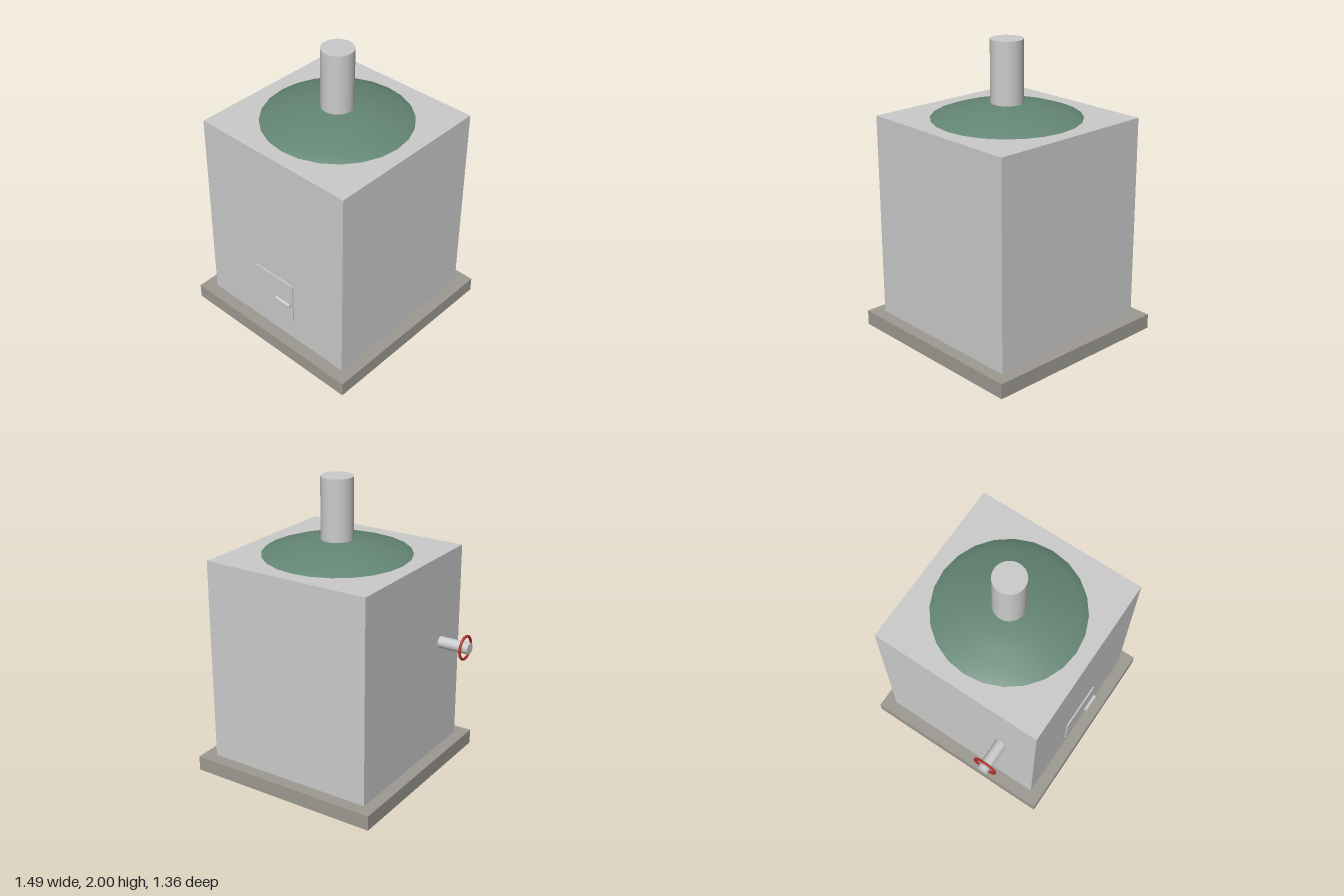
import * as THREE from 'three';

const material = (color) => new THREE.MeshStandardMaterial({ color });
const grey = material(0xcccccc);
const stone = material(0x9d9a92);
const green = material(0x648674);
const red = material(0xb8332e);

const CX = 0.065; // the furnace sits off centre because of the valve

export function createModel() {
  const group = new THREE.Group();
  const add = (name, geometry, mat, x, y, z) => {
    const mesh = new THREE.Mesh(geometry, mat);
    mesh.name = name;
    mesh.position.set(x, y, z);
    group.add(mesh);
    return mesh;
  };
  // Box spanning y0 to y1
  const block = (name, w, y0, y1, d, mat, x, z) =>
    add(name, new THREE.BoxGeometry(w, y1 - y0, d), mat, x, (y0 + y1) / 2, z);
  // Cylinder lying along x
  const bar = (name, r, x0, x1, y, z) =>
    add(name, new THREE.CylinderGeometry(r, r, x1 - x0, 24).rotateZ(Math.PI / 2), grey, (x0 + x1) / 2, y, z);

  // Plinth and furnace body
  block('base', 1.355, 0, 0.102, 1.355, stone, CX, 0);
  block('body', 1.187, 0.002, 1.492, 1.187, grey, CX, 0);

  // Shallow dome, its rim sunk into the body
  const profile = [
    [0.535, 1.46], [0.499, 1.49], [0.44, 1.512], [0.38, 1.532], [0.28, 1.559],
    [0.2, 1.576], [0.1, 1.59], [0, 1.594],
  ].map(([r, y]) => new THREE.Vector2(r, y));
  add('dome', new THREE.LatheGeometry(profile, 24), green, CX, 0, 0);

  // Chimney
  add('chimney', new THREE.CylinderGeometry(0.107, 0.107, 0.5, 32), grey, CX, 1.75, 0);

  // Fire door and its handle
  block('door', 0.334, 0.258, 0.562, 0.02, grey, 0.067, 0.593);
  bar('doorHandle', 0.0135, 0.106, 0.23, 0.41, 0.623);

  // Valve pipe with hand wheel on the right side
  bar('valvePipe', 0.039, -0.747, -0.5, 0.886, 0.338);
  add('valveWheel', new THREE.TorusGeometry(0.078, 0.009, 12, 32).rotateY(Math.PI / 2), red, -0.713, 0.886, 0.338);

  return group;
}
